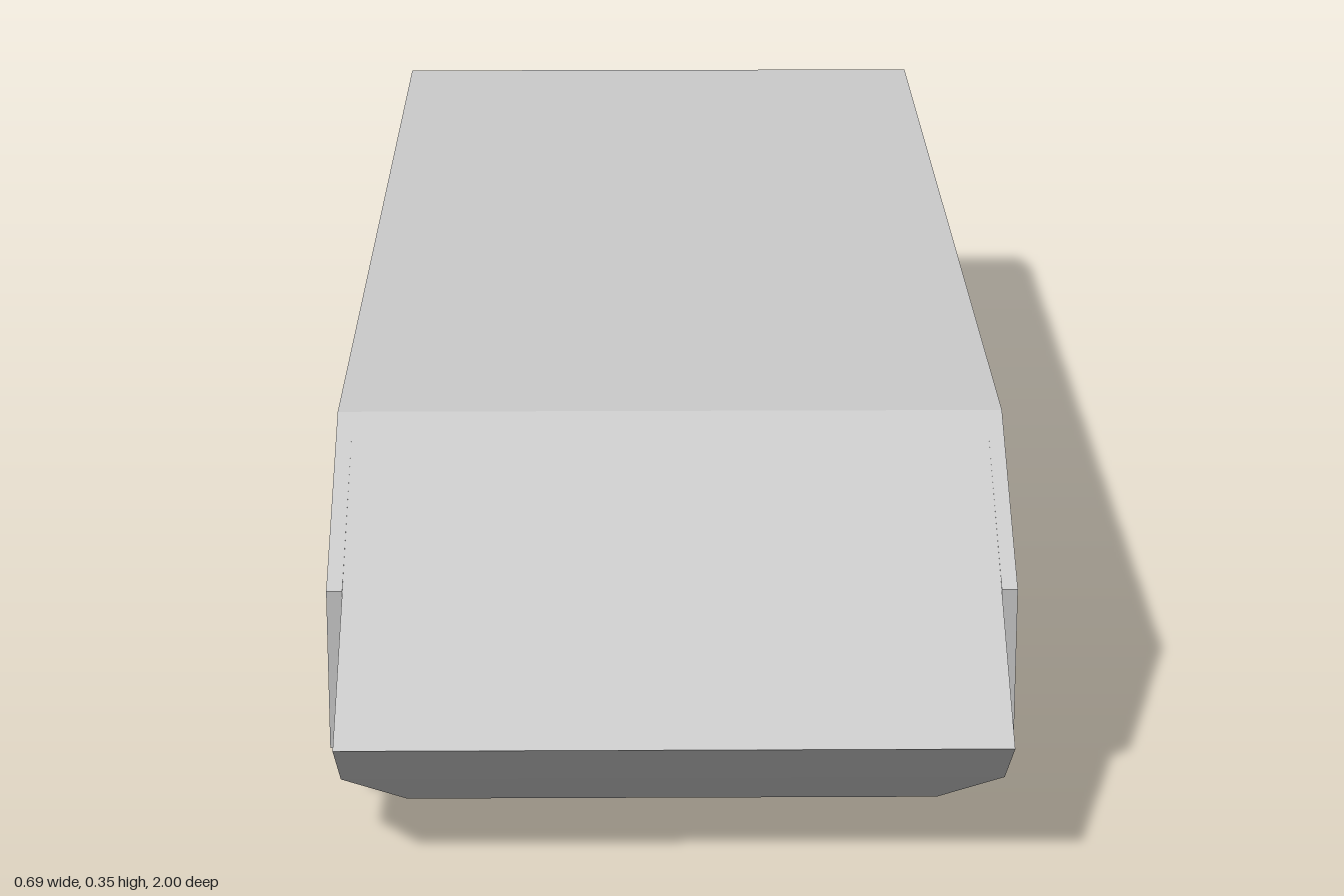
import * as THREE from 'three';
import { ConvexGeometry } from 'three/addons/geometries/ConvexGeometry.js';

const material = new THREE.MeshStandardMaterial({ color: 0xcccccc });

function addPart(group, name, geometry) {
  const mesh = new THREE.Mesh(geometry, material);
  mesh.name = name;
  group.add(mesh);
}

export function createModel() {
  const group = new THREE.Group();
  group.name = 'armouredHull';

  // Hull body: side outline [z, y] at full width, narrowing to a flat belly
  const halfWidth = 0.33, bellyHalfWidth = 0.27, top = 0.348;
  const outline = [[1, 0.13], [0.61, top], [-0.94, top], [-1, 0.325], [-0.92, 0.06], [0.905, 0.06]];
  const belly = [[0.815, 0], [-0.75, 0]];
  const points = [];
  for (const side of [-1, 1]) {
    for (const [z, y] of outline) points.push(new THREE.Vector3(side * halfWidth, y, z));
    for (const [z, y] of belly) points.push(new THREE.Vector3(side * bellyHalfWidth, y, z));
  }
  addPart(group, 'hullBody', new ConvexGeometry(points));

  // Side plates: thin slabs that stop short of the nose and overhang the belly chamfer
  const plate = [[0.825, 0.06], [0.825, 0.229], [0.61, top], [-0.94, top], [-1, 0.325], [-0.92, 0.06]];
  const shape = new THREE.Shape(plate.map(([z, y]) => new THREE.Vector2(-z, y)));
  const thickness = 0.016;
  for (const [name, x] of [['leftSidePlate', halfWidth], ['rightSidePlate', -halfWidth - thickness]]) {
    const geometry = new THREE.ExtrudeGeometry(shape, { depth: thickness, bevelEnabled: false });
    geometry.rotateY(Math.PI / 2).translate(x, 0, 0);
    addPart(group, name, geometry);
  }

  return group;
}
